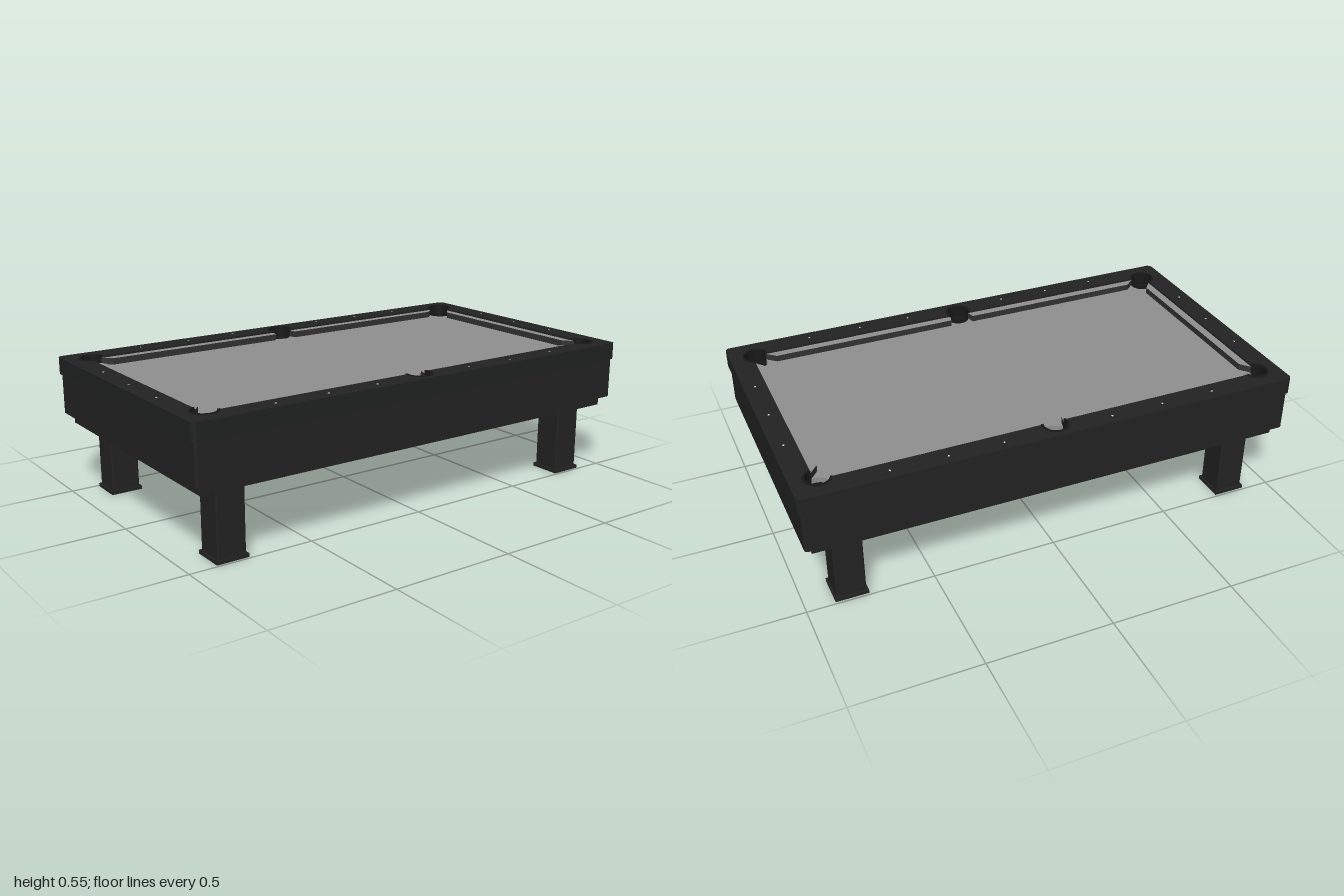
import * as THREE from 'three';

const mat = (name, color, side = THREE.FrontSide) => {
  const m = new THREE.MeshStandardMaterial({ color, side });
  m.name = name;
  return m;
};

// pockets in counter-clockwise order: centre, radius, outward direction, half angle of the bulge (degrees)
const R = 0.045;
const pockets = [
  [0.897, 0.457, 45, 118.2], [0, 0.487, 90, 112.2], [-0.897, 0.457, 135, 118.2],
  [-0.897, -0.457, 225, 118.2], [0, -0.487, 270, 112.2], [0.897, -0.457, 315, 118.2],
];

function arc(cx, cy, r, from, to, n = 20) {
  return Array.from({ length: n + 1 }, (_, i) => {
    const a = THREE.MathUtils.degToRad(from + ((to - from) * i) / n);
    return new THREE.Vector2(cx + r * Math.cos(a), cy + r * Math.sin(a));
  });
}

// playing area outline; pockets either bulge outwards (rail opening) or bite inwards (cloth)
const playOutline = (bulge) => pockets.flatMap(([x, y, dir, half]) =>
  arc(x, y, R, dir - half, dir + half - (bulge ? 0 : 360)));

function roundedRect(hx, hy, r) {
  return new THREE.Shape([
    ...arc(hx - r, hy - r, r, 0, 90, 6), ...arc(-hx + r, hy - r, r, 90, 180, 6),
    ...arc(-hx + r, -hy + r, r, 180, 270, 6), ...arc(hx - r, -hy + r, r, 270, 360, 6),
  ]);
}

// flat outline raised from y0 to y1
function slab(shape, y0, y1) {
  const g = new THREE.ExtrudeGeometry(shape, { depth: y1 - y0, bevelEnabled: false });
  return g.rotateX(-Math.PI / 2).translate(0, y0, 0);
}

export function createModel() {
  const root = new THREE.Group();
  root.name = 'poolTable';
  const wood = mat('black wood', 0x232323);
  const railMat = mat('rail black', 0x212322);
  const cloth = mat('grey cloth', 0x909090);
  const nose = mat('cushion edge', 0x333333);
  const liner = mat('pocket lining', 0x181818, THREE.DoubleSide);
  const inlay = mat('inlay white', 0xd8d8d8);

  const add = (name, geometry, material, parent = root) => {
    const m = new THREE.Mesh(geometry, material);
    m.name = name;
    parent.add(m);
    return m;
  };
  const box = (name, w, h, d, x, y, z, material) =>
    add(name, new THREE.BoxGeometry(w, h, d).translate(x, y, z), material);

  // cabinet with pocket wells, and the narrower base below it
  const cabinet = roundedRect(0.99, 0.556, 0.012);
  pockets.forEach(([x, y]) => cabinet.holes.push(new THREE.Path(arc(x, y, R, 0, 360, 32).slice(0, -1))));
  add('cabinet', slab(cabinet, 0.32, 0.485), wood);
  box('baseFrame', 1.92, 0.04, 1.046, 0, 0.3, 0, wood);

  // top rail with its opening
  const rail = roundedRect(1, 0.562, 0.02);
  rail.holes.push(new THREE.Path(playOutline(true)));
  add('topRail', slab(rail, 0.483, 0.551), railMat);

  // playing surface
  add('playingSurface', slab(new THREE.Shape(playOutline(false)), 0.485, 0.517), cloth);

  // pocket linings and raised collars
  pockets.forEach(([x, y, dir, half]) => {
    add('pocketLining', new THREE.CylinderGeometry(0.0445, 0.0445, 0.17, 32, 1, true).translate(x, 0.412, -y), liner);
    const collar = new THREE.Shape([
      ...arc(x, y, 0.053, dir - half, dir + half),
      ...arc(x, y, 0.044, dir + half, dir - half),
    ]);
    add('pocketCollar', slab(collar, 0.5, 0.554), liner);
  });

  // cushions: cloth on top, dark edges; angled jaws at the pockets
  for (const s of [-1, 1]) {
    for (const t of [-1, 1]) {
      const pts = [[0.041, 0.47], [0.05, 0.437], [0.815, 0.437], [0.852, 0.47]]
        .map(([x, y]) => new THREE.Vector2(s * x, t * y));
      add('longCushion', slab(new THREE.Shape(pts), 0.516, 0.543), [cloth, nose]);
    }
    const pts = [[0.91, -0.414], [0.91, 0.414], [0.877, 0.375], [0.877, -0.375]]
      .map(([x, y]) => new THREE.Vector2(s * x, y));
    add('endCushion', slab(new THREE.Shape(pts), 0.516, 0.543), [cloth, nose]);
  }

  // sight markers inlaid in the rails
  const sight = (x, z) =>
    add('sightMarker', new THREE.CylinderGeometry(0.005, 0.005, 0.002, 4).translate(x, 0.551, z), inlay);
  for (const s of [-1, 1]) {
    for (const x of [0.22, 0.435, 0.655]) {
      sight(x, s * 0.52);
      sight(-x, s * 0.52);
    }
    for (const z of [-0.22, 0, 0.22]) sight(s * 0.955, z);
  }

  // legs and foot plates
  for (const sx of [-1, 1]) {
    for (const sz of [-1, 1]) {
      const leg = add('leg', slab(roundedRect(0.058, 0.058, 0.006), 0.012, 0.282), wood);
      leg.position.set(sx * 0.822, 0, sz * 0.426);
      box('footPlate', 0.13, 0.014, 0.13, sx * 0.822, 0.007, sz * 0.426, wood);
    }
  }
  return root;
}
